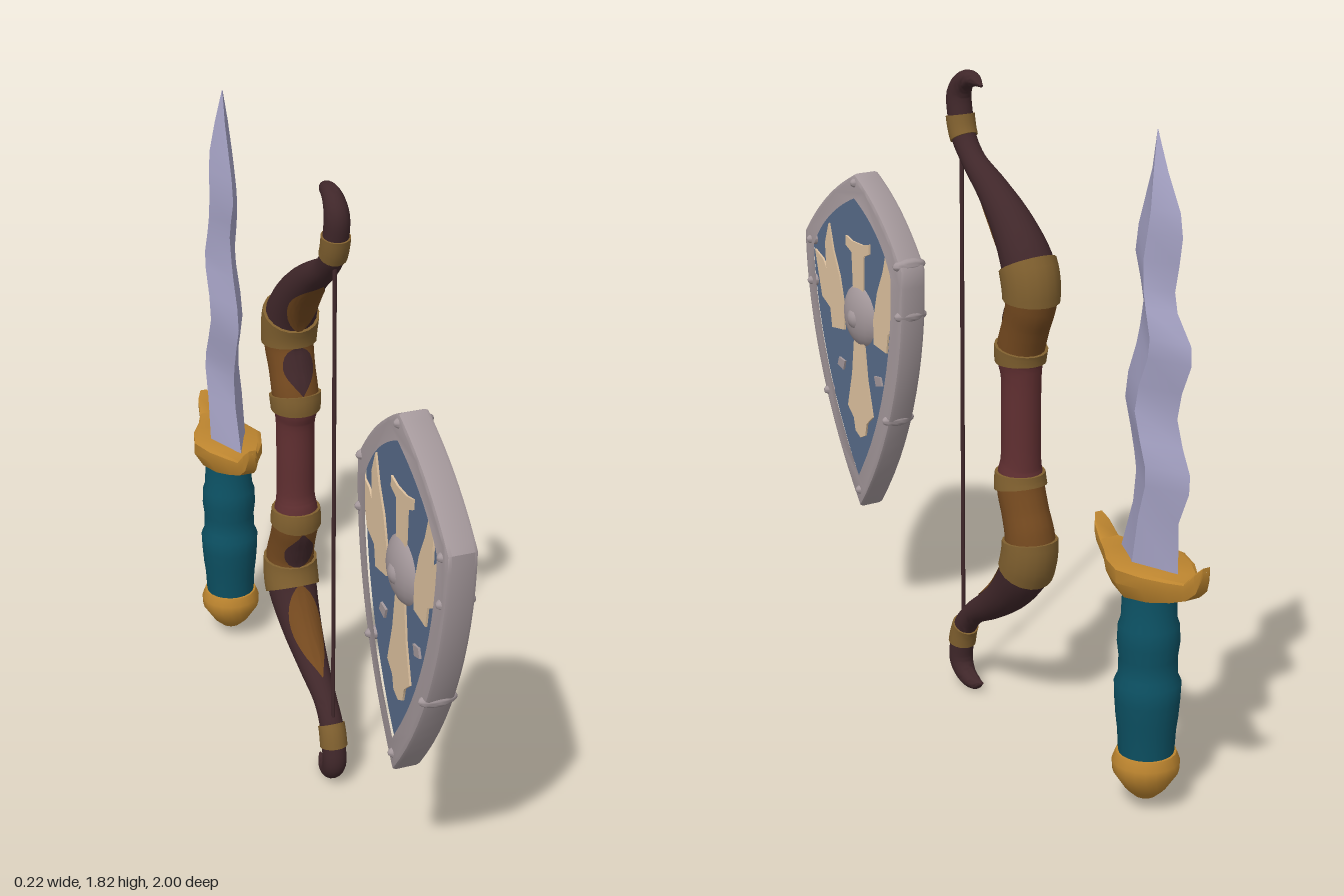
import * as THREE from 'three';
import { toCreasedNormals } from 'three/addons/utils/BufferGeometryUtils.js';

const mat = (name, color) => new THREE.MeshStandardMaterial({ name, color });
const M = {
  steel: mat('dull steel', 0xa3979a),
  blue: mat('slate blue', 0x566a88),
  cream: mat('cream', 0xdcc09e),
  wood: mat('dark wood', 0x40272a),
  band: mat('brass band', 0x80602f),
  inlay: mat('brown inlay', 0x74491f),
  leather: mat('red leather', 0x602f31),
  blade: mat('blade steel', 0xa5a2c4),
  gold: mat('gold', 0xbd852f),
  teal: mat('teal wrap', 0x0c5062),
};
M.inlay.side = M.wood.side = THREE.DoubleSide;

function add(group, name, geometry, material, crease = 0.7) {
  const mesh = new THREE.Mesh(toCreasedNormals(geometry, crease), material);
  mesh.name = name;
  group.add(mesh);
  return mesh;
}

// Skin a list of equal-length rings of [x, y, z] points
function loft(rings, closed = true) {
  const n = rings[0].length, idx = [];
  for (let i = 0; i < rings.length - 1; i++) {
    for (let j = 0; j < (closed ? n : n - 1); j++) {
      const k = (j + 1) % n;
      const a = i * n + j, b = i * n + k, c = a + n, d = b + n;
      idx.push(a, b, c, b, d, c);
    }
  }
  const g = new THREE.BufferGeometry();
  g.setAttribute('position', new THREE.Float32BufferAttribute(rings.flat(2), 3));
  g.setIndex(idx);
  g.computeVertexNormals();
  return g;
}

// Extrude a shape drawn in (z, y), centred on x
function plate(shape, thickness, x = 0, bevel = 0) {
  const g = new THREE.ExtrudeGeometry(shape, {
    depth: thickness - 2 * bevel, curveSegments: 14, bevelEnabled: bevel > 0,
    bevelThickness: bevel, bevelSize: bevel, bevelOffset: -bevel, bevelSegments: 2,
  });
  return g.translate(0, 0, -(thickness - 2 * bevel) / 2).rotateY(-Math.PI / 2).translate(x, 0, 0);
}

const polygon = (pts) => new THREE.Shape(pts.map((p) => new THREE.Vector2(p[0], p[1])));

function shieldOutline(inset) {
  const l = 0.998 - inset, r = 0.41 + inset, c = 0.68;
  const top = 1.427 - inset * 1.2, side = 1.19 - inset * 0.5, low = 0.385 + inset * 1.7;
  const s = new THREE.Shape();
  s.moveTo(c, top);
  s.quadraticCurveTo(0.87, 1.345 - inset * 1.1, l, side);
  s.bezierCurveTo(l, 0.95, 0.9 - inset, 0.65 + inset * 0.5, c, low);
  s.bezierCurveTo(0.47 + inset, 0.65 + inset * 0.5, r - 0.012, 0.95, r, side);
  s.quadraticCurveTo(0.52, 1.35 - inset * 1.1, c, top);
  return s;
}

function createShield() {
  const g = new THREE.Group();
  g.name = 'shield';
  add(g, 'shieldPanel', plate(shieldOutline(0.03), 0.05), M.blue);
  const rim = shieldOutline(0);
  rim.holes.push(new THREE.Path(shieldOutline(0.05).getPoints(14)));
  add(g, 'shieldRim', plate(rim, 0.084, 0, 0.012), M.steel);

  // Bird emblem: offsets from the centre line (z) and heights (y)
  const wing = [[0.175, 1.24], [0.15, 1.16], [0.115, 1.09], [0.09, 1.0], [0.09, 0.925], [0.165, 0.915],
    [0.175, 0.975], [0.225, 1.0], [0.25, 1.085], [0.265, 1.14], [0.215, 1.12], [0.195, 1.095], [0.2, 1.175]];
  const tail = [[0.03, 0.91], [0.045, 0.8], [0.075, 0.69], [0.04, 0.66], [0.03, 0.62], [0, 0.605]];
  const head = [[0.03, 1.06], [0.035, 1.18], [0.07, 1.195], [0.07, 1.225], [0.03, 1.215]];
  const claw = [[0.09, 0.825], [0.125, 0.83], [0.135, 0.805], [0.1, 0.795]];
  const place = (pts, s) => pts.map(([z, y]) => [0.686 + s * z, y]);
  const both = (pts) => polygon([...place(pts, 1), ...place(pts, -1).reverse()]);
  for (const x of [0.027, -0.027]) {
    add(g, 'emblemTail', plate(both(tail), 0.008, x), M.cream);
    add(g, 'emblemHead', plate(both(head), 0.008, x), M.cream);
    for (const s of [1, -1]) {
      add(g, 'emblemWing', plate(polygon(place(wing, s)), 0.008, x), M.cream);
      add(g, 'emblemClaw', plate(polygon(place(claw, s)), 0.009, x), M.steel);
    }
  }

  // Boss and rivets reach through to both faces
  const dome = (name, z, y, r, hx) =>
    add(g, name, new THREE.SphereGeometry(r, 20, 14).scale(hx / r, 1, 1).translate(0, y, z), M.steel);
  dome('boss', 0.686, 0.99, 0.105, 0.056);
  dome('bossKnob', 0.686, 0.985, 0.05, 0.064);
  for (const [z, y] of [[0.435, 1.2], [0.43, 1.05], [0.96, 1.17], [0.96, 1.04], [0.68, 1.4], [0.68, 0.44],
    [0.87, 0.71], [0.51, 0.71]]) dome('rivet', z, y, 0.021, 0.054);
  return g;
}

function createBow() {
  const g = new THREE.Group();
  g.name = 'bow';
  // Upper half from grip centre to tip: z, y, radius
  const mid = 0.908;
  const half = [[-0.16, mid, 0.055], [-0.16, 1.03, 0.056], [-0.157, 1.065, 0.062], [-0.16, 1.11, 0.066],
    [-0.185, 1.18, 0.066], [-0.208, 1.25, 0.07], [-0.193, 1.335, 0.072], [-0.12, 1.43, 0.06],
    [-0.02, 1.51, 0.045], [0.08, 1.575, 0.034], [0.13, 1.63, 0.034], [0.15, 1.69, 0.035],
    [0.155, 1.75, 0.034], [0.125, 1.787, 0.028], [0.08, 1.797, 0.02], [0.04, 1.785, 0.004]];
  const n = half.length - 1;
  const lower = half.slice(1).reverse().map(([z, y, r]) => [z, 2 * mid - y, r]);
  // The curve's x coordinate carries the radius
  const curve = new THREE.CatmullRomCurve3([...lower, ...half].map(([z, y, r]) => new THREE.Vector3(r, y, z)));

  function sweep(from, to, swell = 0, arc = null) {
    const steps = Math.ceil((to - from) * 5), rings = [];
    const ring = (s, k) => {
      const t = THREE.MathUtils.clamp((s + n) / (2 * n), 0, 1);
      const p = curve.getPoint(t), d = curve.getTangent(t);
      const len = Math.hypot(d.y, d.z), nz = d.y / len, ny = -d.z / len, r = (p.x + swell) * k;
      const out = [], count = 18;
      for (let j = 0; j < (arc ? count + 1 : count); j++) {
        const w = arc ? arc * Math.sin(Math.PI * (s - from) / (to - from)) : Math.PI;
        const a = -w + (2 * w * j) / count + (arc ? 0 : Math.PI);
        out.push([r * Math.sin(a), p.y + r * Math.cos(a) * ny, p.z + r * Math.cos(a) * nz]);
      }
      return out;
    };
    if (!arc) rings.push(ring(from, 0.01));
    for (let i = 0; i <= steps; i++) rings.push(ring(from + ((to - from) * i) / steps, 1));
    if (!arc) rings.push(ring(to, 0.01));
    return loft(rings, !arc);
  }

  add(g, 'bowGrip', sweep(-2, 2), M.leather);
  const parts = [['gripBand', 2, 3, M.band, 0.008], ['riser', 3, 5, M.inlay, 0],
    ['limbBand', 5, 6.1, M.band, 0.008], ['limb', 6, n, M.wood, 0], ['tipBand', 10, 11, M.band, 0.005],
    ['limbInlay', 6, 8.6, M.inlay, 0.003, 0.9], ['riserPatch', 3, 5, M.wood, 0.003, 0.7]];
  for (const [name, a, b, material, swell, arc] of parts) {
    add(g, name, sweep(a, b, swell, arc), material);
    add(g, name, sweep(-b, -a, swell, arc), material);
  }
  add(g, 'bowString', new THREE.CylinderGeometry(0.006, 0.006, 1.44, 8).translate(0, mid, 0.143), M.wood);
  return g;
}

function createDagger() {
  const g = new THREE.Group();
  g.name = 'dagger';
  const cz = -0.766;

  // Wavy blade with a diamond section: y, front edge z, back edge z, half thickness
  const blade = [[0.67, -0.63, -0.885, 0.056], [0.83, -0.686, -0.88, 0.054], [0.92, -0.697, -0.92, 0.053],
    [0.97, -0.686, -0.922, 0.052], [1.03, -0.668, -0.89, 0.051], [1.1, -0.643, -0.864, 0.05],
    [1.17, -0.654, -0.88, 0.049], [1.25, -0.686, -0.916, 0.048], [1.3, -0.7, -0.912, 0.047],
    [1.37, -0.713, -0.854, 0.045], [1.42, -0.7, -0.842, 0.044], [1.49, -0.675, -0.857, 0.042],
    [1.56, -0.686, -0.868, 0.039], [1.62, -0.707, -0.857, 0.034], [1.71, -0.738, -0.804, 0.02],
    [1.808, -0.756, -0.758, 0.001]];
  add(g, 'blade', loft(blade.map(([y, a, b, hx]) => {
    const m = (a + b) / 2;
    return [[0, y, a], [hx, y, m], [0, y, b], [-hx, y, m]];
  })), M.blade, 0.5);

  // Guard: z offset, top y, bottom y, half width; narrower underneath
  const half = [[0, 0.7, 0.61, 0.108], [0.075, 0.698, 0.618, 0.085], [0.135, 0.695, 0.632, 0.05],
    [0.18, 0.698, 0.65, 0.03], [0.215, 0.735, 0.68, 0.024], [0.232, 0.753, 0.73, 0.012], [0.232, 0.742, 0.741, 0.001]];
  const stations = [...half.slice(1).reverse().map(([z, ...rest]) => [-z, ...rest]), ...half];
  add(g, 'guard', loft(stations.map(([z, top, low, hx]) => {
    const ring = [];
    for (const [u, v] of [[1, 0], [1, 0.8], [0.85, 1], [-0.85, 1], [-1, 0.8], [-1, 0], [-0.75, -1], [0.75, -1]]) {
      ring.push([u * hx, (top + low) / 2 + (v * (top - low)) / 2, cz + z]);
    }
    return ring;
  })), M.gold);

  const lathe = (name, profile, material) =>
    add(g, name, new THREE.LatheGeometry(profile.map(([r, y]) => new THREE.Vector2(r, y)), 20)
      .translate(0, 0, cz), material, 0.6);
  lathe('handle', [[0, 0.14], [0.073, 0.145], [0.077, 0.22], [0.082, 0.26], [0.086, 0.31], [0.088, 0.36],
    [0.078, 0.38], [0.077, 0.43], [0.082, 0.47], [0.08, 0.52], [0.073, 0.54], [0.07, 0.625], [0, 0.63]], M.teal);
  lathe('pommel', [[0, 0.028], [0.03, 0.032], [0.055, 0.055], [0.088, 0.105], [0.09, 0.135], [0.08, 0.16],
    [0, 0.165]], M.gold);
  return g;
}

export function createModel() {
  const model = new THREE.Group();
  model.name = 'weaponSet';
  model.add(createShield(), createBow(), createDagger());
  return model;
}
